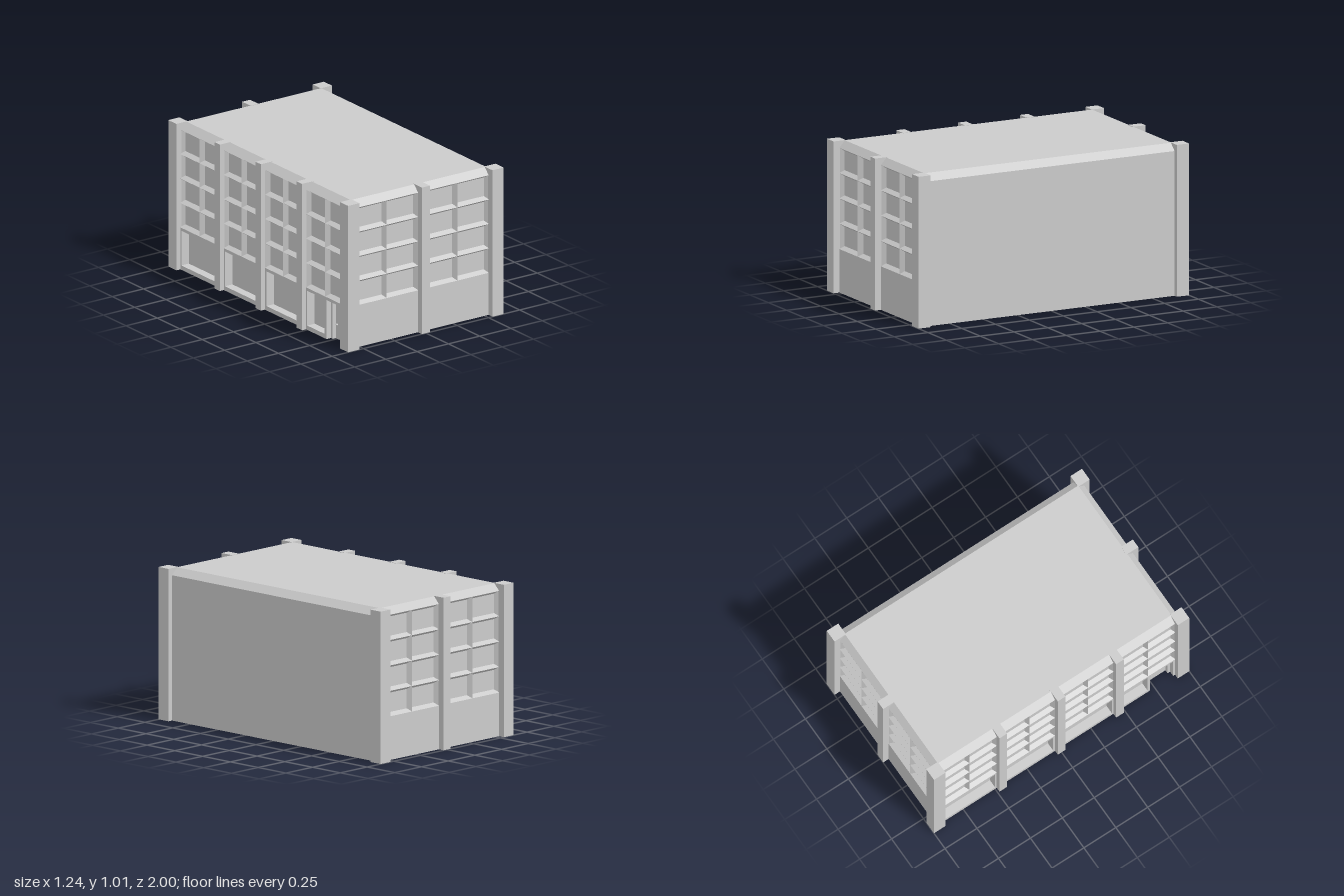
import * as THREE from 'three';

const mat = new THREE.MeshStandardMaterial({ color: 0xcccccc, flatShading: true });
const H = 1.01, EAVE = 0.965, SILL = 0.29;
const WX = 0.59, WZ = 0.957; // outer wall faces

function add(parent, name, geometry) {
  const m = new THREE.Mesh(geometry, mat);
  m.name = name;
  parent.add(m);
  return m;
}

// Box given by its minimum and maximum corners
function box(parent, name, x0, x1, y0, y1, z0, z1) {
  const m = add(parent, name, new THREE.BoxGeometry(x1 - x0, y1 - y0, z1 - z0));
  m.position.set((x0 + x1) / 2, (y0 + y1) / 2, (z0 + z1) / 2);
  return m;
}

// Four sloping sides between two rectangles, closed by the inner one.
// Rectangles lie in the local xy plane, counter-clockwise, seen from +z.
function frustum(outer, inner) {
  const ring = ([x0, x1, y0, y1, z]) => [[x0, y0, z], [x1, y0, z], [x1, y1, z], [x0, y1, z]];
  const a = ring(outer), b = ring(inner), p = [];
  const quad = (q, r, s, t) => p.push(...q, ...r, ...s, ...q, ...s, ...t);
  for (let i = 0; i < 4; i++) {
    const j = (i + 1) % 4;
    quad(a[i], a[j], b[j], b[i]);
  }
  quad(...b);
  const g = new THREE.BufferGeometry();
  g.setAttribute('position', new THREE.Float32BufferAttribute(p, 3));
  g.computeVertexNormals();
  return g;
}

// Grid of bevelled panes, 2 columns by 4 rows, sunk into the wall plane
function windowGrid(parent, x0, x1) {
  const w = (x1 - x0) / 2, h = (EAVE - SILL) / 4, b = 0.02, d = 0.03;
  for (let c = 0; c < 2; c++) {
    for (let r = 0; r < 4; r++) {
      const l = x0 + c * w, y = SILL + r * h;
      add(parent, 'windowPane', frustum(
        [l, l + w, y, y + h, 0], [l + b, l + w - b, y + b, y + h - b, -d]));
    }
  }
}

function rectPath(path, x0, x1, y0, y1) {
  path.moveTo(x0, y0);
  path.lineTo(x1, y0);
  path.lineTo(x1, y1);
  path.lineTo(x0, y1);
  path.closePath();
  return path;
}

// Ground-floor wall with one display opening, and optionally a doorway
function shopFront(parent, x0, x1, withDoor) {
  const top = 0.27, d = 0.06, s = new THREE.Shape();
  const doorL = x1 - 0.2, doorR = x1 - 0.02;
  s.moveTo(x0, 0);
  if (withDoor) {
    s.lineTo(doorL, 0);
    s.lineTo(doorL, top);
    s.lineTo(doorR, top);
    s.lineTo(doorR, 0);
  }
  s.lineTo(x1, 0);
  s.lineTo(x1, SILL);
  s.lineTo(x0, SILL);
  s.closePath();
  s.holes.push(rectPath(new THREE.Path(), x0 + 0.015, withDoor ? doorL - 0.02 : x1 - 0.015, 0.03, top));
  add(parent, 'shopFrontWall', new THREE.ExtrudeGeometry(s, { depth: d, bevelEnabled: false }))
    .position.z = -d;
  if (withDoor) {
    // Stepped door frame and handle
    box(parent, 'doorJamb', doorL, doorL + 0.02, 0, top, -d, -0.035);
    box(parent, 'doorJamb', doorR - 0.02, doorR, 0, top, -d, -0.035);
    box(parent, 'doorHead', doorL + 0.02, doorR - 0.02, top - 0.02, top, -d, -0.035);
    const knob = add(parent, 'doorHandle', new THREE.SphereGeometry(0.008, 8, 6));
    knob.position.set(doorL + 0.04, 0.1, -d + 0.006);
  }
}

export function createModel() {
  const root = new THREE.Group();
  root.name = 'building';

  // Inner block behind the facades and the blank wall
  box(root, 'core', -WX + 0.06, WX - 0.02, 0, EAVE, -WZ + 0.035, WZ - 0.035);
  box(root, 'blankWall', WX - 0.03, WX, 0, EAVE, -0.93, 0.93);

  // Roof slab with sloping eaves
  const roof = add(root, 'roof', frustum(
    [-WX, WX, -WZ, WZ, EAVE], [-0.54, 0.54, -0.915, 0.915, H]));
  roof.rotation.x = -Math.PI / 2;
  box(root, 'roofUnderside', -WX, WX, EAVE - 0.001, EAVE, -WZ, WZ);

  // Front and back facades
  for (const s of [1, -1]) {
    const f = new THREE.Group();
    f.name = s > 0 ? 'frontFacade' : 'backFacade';
    f.position.z = s * WZ;
    f.rotation.y = s > 0 ? 0 : Math.PI;
    for (const [x0, x1] of [[-0.535, -0.03], [0.03, 0.535]]) {
      windowGrid(f, x0, x1);
      box(f, 'lowerWall', x0, x1, 0, SILL, -0.04, 0);
    }
    box(f, 'middlePilaster', -0.032, 0.032, 0, H + 0.003, -0.05, 1 - WZ);
    root.add(f);
  }

  // Shop side, with local x running towards the front
  const side = new THREE.Group();
  side.name = 'shopFacade';
  side.position.x = -WX;
  side.rotation.y = -Math.PI / 2;
  const bays = [[-0.915, -0.485], [-0.43, -0.03], [0.03, 0.43], [0.485, 0.915]];
  bays.forEach(([x0, x1], i) => {
    windowGrid(side, x0, x1);
    shopFront(side, x0, x1, i === 3);
  });
  for (const x of [-0.457, 0, 0.457]) {
    box(side, 'sidePilaster', x - 0.03, x + 0.03, 0, H + 0.002, -0.062, 0.032);
  }
  root.add(side);

  // Corner posts
  for (const sx of [1, -1]) {
    for (const sz of [1, -1]) {
      const post = add(root, 'cornerPost', new THREE.BoxGeometry(0.09, H + 0.002, 0.09));
      post.position.set(sx * 0.577, (H + 0.002) / 2, sz * 0.955);
    }
  }
  return root;
}
